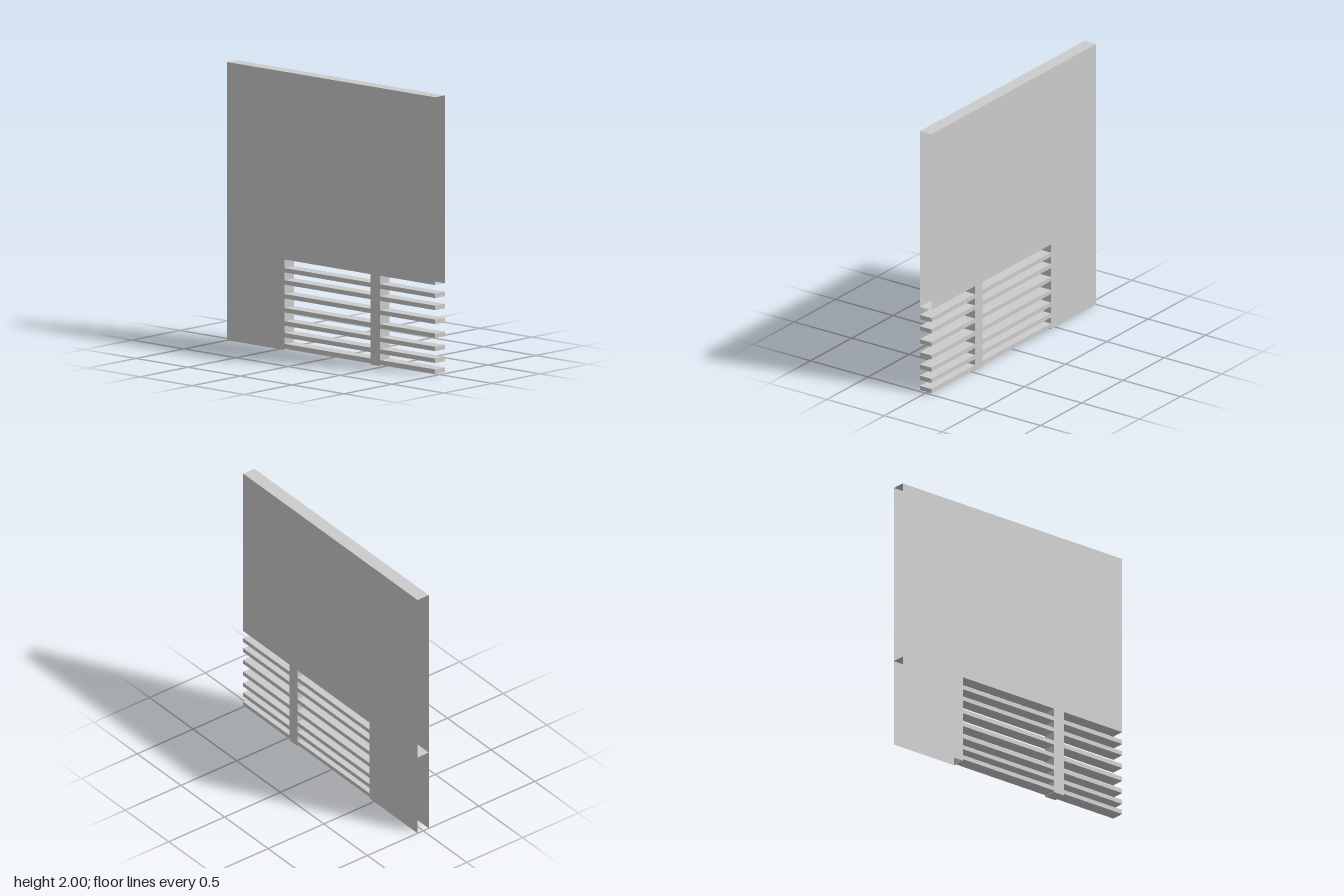
import * as THREE from 'three';

const WIDTH = 0.1;
const SPLIT = 0.65; // height where the upper panel begins
const material = new THREE.MeshStandardMaterial({
  color: 0xcccccc, flatShading: true, side: THREE.DoubleSide,
});

// Box spanning y0..y1 and z0..z1; faces listed in `open` are left out
// (0 +x, 1 -x, 2 +y, 3 -y, 4 +z, 5 -z).
function block(name, y0, y1, z0, z1, open = []) {
  const geometry = new THREE.BoxGeometry(WIDTH, y1 - y0, z1 - z0);
  const index = Array.from(geometry.index.array);
  geometry.setIndex(index.filter((_, i) => !open.includes(Math.floor(i / 6))));
  geometry.clearGroups();
  const mesh = new THREE.Mesh(geometry, material);
  mesh.name = name;
  mesh.position.set(0, (y0 + y1) / 2, (z0 + z1) / 2);
  return mesh;
}

export function createModel() {
  const model = new THREE.Group();
  model.name = 'louveredWall';

  // Hollow upper panel, open at both ends
  model.add(block('upperPanel', SPLIT, 2, -1, 1, [4, 5]));

  // Hollow lower panel, open at the back and bottom, under the upper panel's floor
  model.add(block('lowerPanel', 0, SPLIT, -1, -0.45, [2, 3, 5]));

  // Post between the two rows of slats
  model.add(block('post', 0, SPLIT, 0.38, 0.47, [2]));

  // Slats on both sides of the post
  const slats = new THREE.Group();
  slats.name = 'slats';
  for (const y of [0.012, 0.09, 0.175, 0.27, 0.37, 0.47, 0.557]) {
    slats.add(block('rearSlat', y, y + 0.032, -0.45, 0.38));
    slats.add(block('frontSlat', y, y + 0.032, 0.47, 1));
  }
  model.add(slats);

  return model;
}
